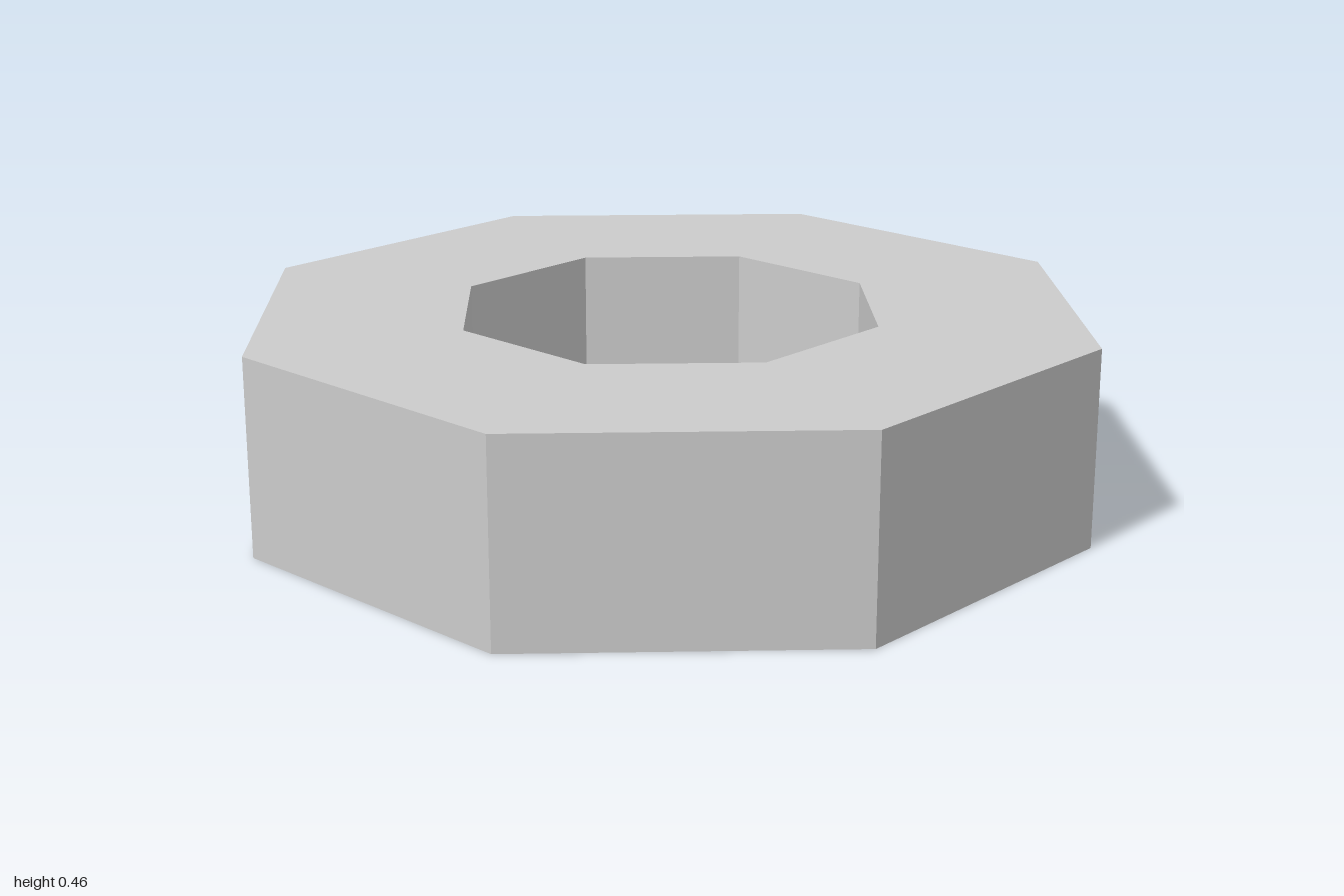
import * as THREE from 'three';

const SIDES = 8;
const OUTER_RADIUS = 1;
const INNER_RADIUS = 0.5;
const HEIGHT = 0.46;

// Corners of a regular polygon, the first one on the x axis
function polygon(radius) {
  return Array.from({ length: SIDES }, (_, i) => {
    const a = (i / SIDES) * Math.PI * 2;
    return new THREE.Vector2(radius * Math.cos(a), radius * Math.sin(a));
  });
}

export function createModel() {
  const group = new THREE.Group();
  group.name = 'octagonalNut';

  // Flat octagonal ring with an octagonal hole, laid down on the ground
  const outline = new THREE.Shape(polygon(OUTER_RADIUS));
  outline.holes.push(new THREE.Path(polygon(INNER_RADIUS)));
  const geometry = new THREE.ExtrudeGeometry(outline, { depth: HEIGHT, bevelEnabled: false });
  geometry.rotateX(-Math.PI / 2);

  const ring = new THREE.Mesh(
    geometry,
    new THREE.MeshStandardMaterial({ color: 0xcccccc, flatShading: true })
  );
  ring.name = 'octagonalRing';
  group.add(ring);

  return group;
}
